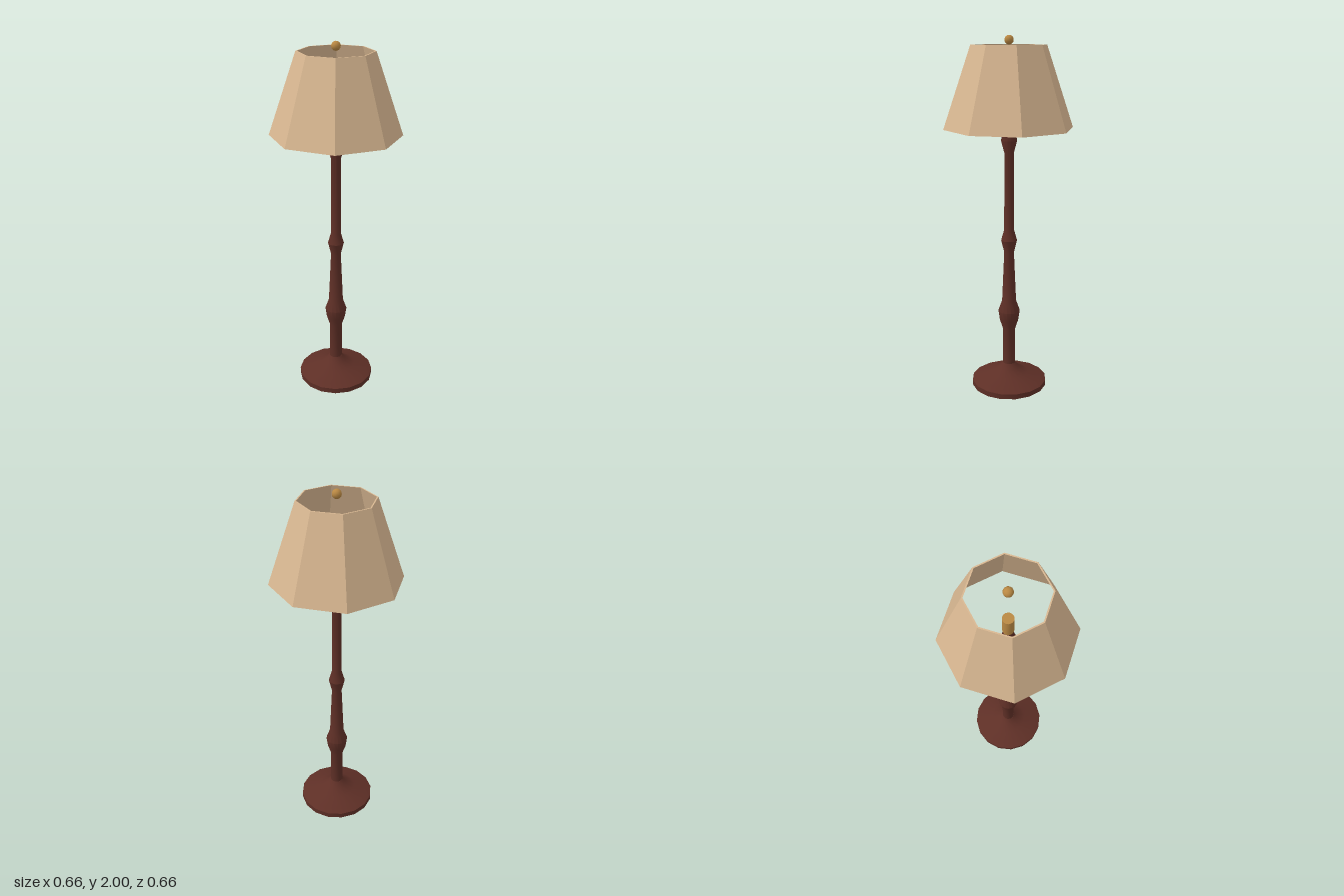
import * as THREE from 'three';
import { toCreasedNormals } from 'three/addons/utils/BufferGeometryUtils.js';

const makeMaterial = (name, color) => {
  const material = new THREE.MeshStandardMaterial({ color });
  material.name = name;
  return material;
};

// Turns a [radius, height] profile around the y axis, keeping sharp edges.
function turned(profile, sides, phiStart = 0) {
  const points = profile.map(([r, y]) => new THREE.Vector2(r, y));
  return toCreasedNormals(new THREE.LatheGeometry(points, sides, phiStart), 0.5);
}

export function createModel() {
  const wood = makeMaterial('dark red wood', 0x5e2f26);
  const fabric = makeMaterial('tan shade fabric', 0xd8b791);
  const brass = makeMaterial('brass', 0xb98843);

  const lamp = new THREE.Group();
  lamp.name = 'floorLamp';
  const add = (name, geometry, material, y = 0) => {
    const mesh = new THREE.Mesh(geometry, material);
    mesh.name = name;
    mesh.position.y = y;
    lamp.add(mesh);
  };

  // Round foot with a flared top
  add('base', turned([
    [0, 0], [0.217, 0], [0.217, 0.03], [0.185, 0.045], [0.11, 0.07],
    [0.06, 0.1], [0.038, 0.13], [0, 0.13],
  ], 16), wood);

  // Turned pole with three swellings
  add('pole', turned([
    [0.037, 0.12], [0.036, 0.345], [0.054, 0.4], [0.062, 0.455], [0.041, 0.515],
    [0.028, 0.81], [0.045, 0.88], [0.028, 0.94], [0.026, 1.375],
    [0.045, 1.445], [0.026, 1.53], [0.026, 1.575], [0, 1.575],
  ], 16), wood);

  // Bulb socket inside the shade
  add('socket', toCreasedNormals(new THREE.CylinderGeometry(0.03, 0.03, 0.13, 16), 0.5), brass, 1.635);

  // Eight-panel shade with a thin wall, a flat panel facing each axis
  const corner = 1 / Math.cos(Math.PI / 8);
  add('shade', turned([
    [0.33, 1.51], [0.19, 1.95], [0.183, 1.95], [0.323, 1.51], [0.33, 1.51],
  ].map(([r, y]) => [r * corner, y]), 8, Math.PI / 8), fabric);

  // Ball at the top
  add('finial', new THREE.SphereGeometry(0.025, 12, 8), brass, 1.975);

  return lamp;
}
